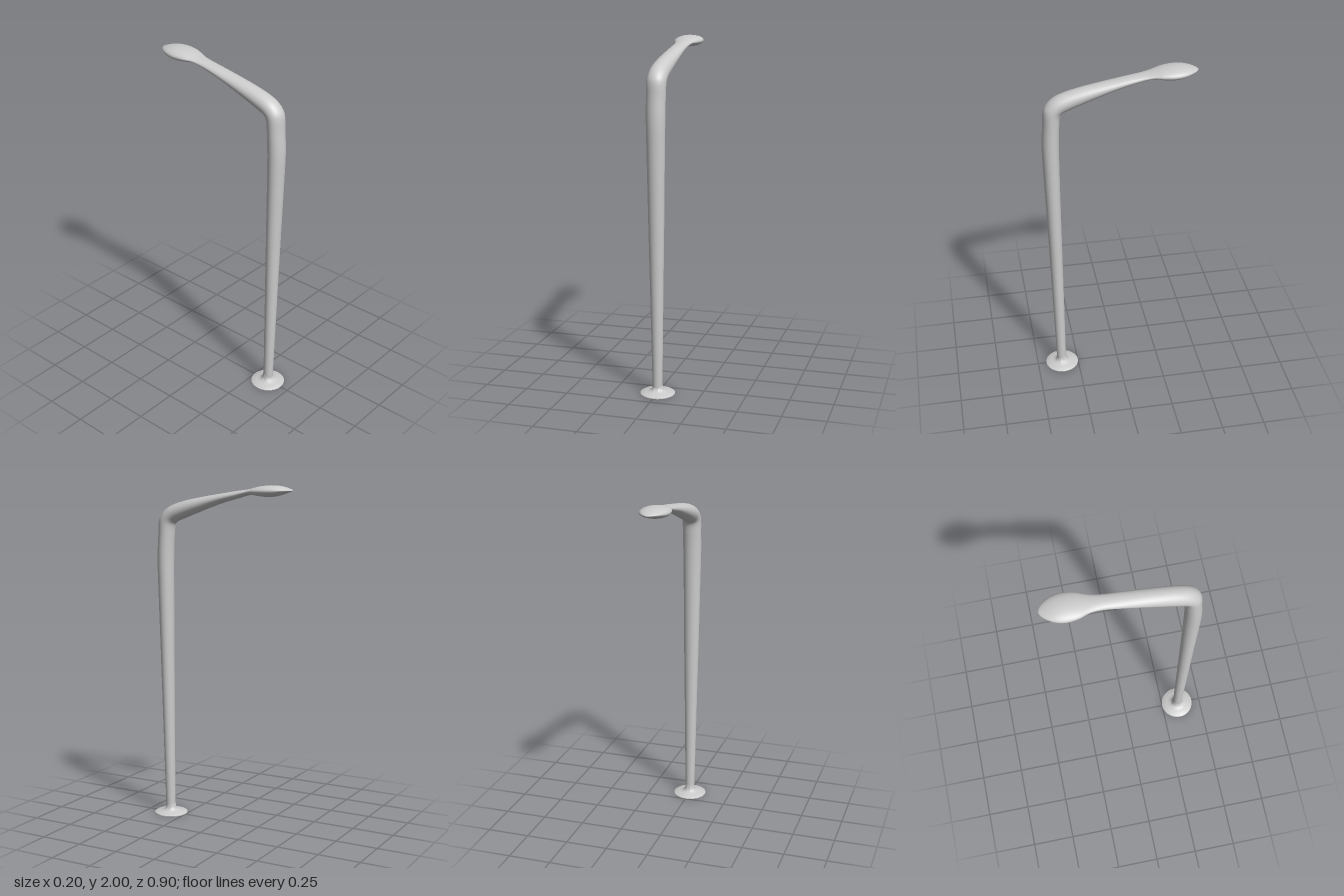
import * as THREE from 'three';
import { toCreasedNormals } from 'three/addons/utils/BufferGeometryUtils.js';

// Loft of elliptical rings. Each station: outer z, outer y, inner z, inner y, half width in x
function loft(stations, rings, sides) {
  const outer = new THREE.CatmullRomCurve3(stations.map(([z, y, , , w]) => new THREE.Vector3(w, y, z)));
  const inner = new THREE.CatmullRomCurve3(stations.map(([, , z, y]) => new THREE.Vector3(0, y, z)));
  const positions = [], index = [];
  for (let i = 0; i <= rings; i++) {
    const o = outer.getPoint(i / rings), n = inner.getPoint(i / rings);
    for (let j = 0; j < sides; j++) {
      const a = (j / sides) * Math.PI * 2, k = (1 + Math.sin(a)) / 2;
      positions.push(Math.cos(a) * o.x, n.y + (o.y - n.y) * k, n.z + (o.z - n.z) * k);
      if (i === rings) continue;
      const p = i * sides + j, q = i * sides + (j + 1) % sides;
      index.push(p, p + sides, q, q, p + sides, q + sides);
    }
  }
  const geometry = new THREE.BufferGeometry();
  geometry.setAttribute('position', new THREE.Float32BufferAttribute(positions, 3));
  geometry.setIndex(index);
  geometry.computeVertexNormals();
  return geometry;
}

export function createModel() {
  const group = new THREE.Group();
  const material = new THREE.MeshStandardMaterial({ color: 0xcccccc });
  const add = (name, geometry) => {
    const mesh = new THREE.Mesh(geometry, material);
    mesh.name = name;
    group.add(mesh);
    return mesh;
  };

  // Flared round foot
  const foot = [[0, 0], [0.1, 0], [0.1, 0.004], [0.094, 0.008], [0.065, 0.013],
    [0.045, 0.018], [0.035, 0.026], [0.03, 0.04], [0.028, 0.06]];
  add('foot', toCreasedNormals(
    new THREE.LatheGeometry(foot.map(([r, y]) => new THREE.Vector2(r, y)), 48), 0.7)).position.z = 0.35;

  // Tapered pole, bend, arm and flattened lamp head in one continuous skin
  add('poleArmAndHead', loft([
    [0.38, 0.02, 0.324, 0.02, 0.028],
    [0.393, 0.5, 0.325, 0.5, 0.036],
    [0.406, 1.0, 0.326, 1.0, 0.045],
    [0.418, 1.4, 0.326, 1.4, 0.051],
    [0.421, 1.57, 0.325, 1.57, 0.054],
    [0.413, 1.7, 0.32, 1.69, 0.055],
    [0.405, 1.795, 0.312, 1.76, 0.056],
    [0.385, 1.831, 0.302, 1.775, 0.056],
    [0.35, 1.862, 0.285, 1.784, 0.056],
    [0.3, 1.885, 0.26, 1.794, 0.056],
    [0.2, 1.912, 0.18, 1.825, 0.054],
    [0.0, 1.948, -0.01, 1.894, 0.047],
    [-0.12, 1.967, -0.125, 1.926, 0.044],
    [-0.17, 1.974, -0.17, 1.939, 0.048],
    [-0.2, 1.98, -0.2, 1.944, 0.055],
    [-0.25, 1.992, -0.25, 1.938, 0.074],
    [-0.31, 1.999, -0.31, 1.934, 0.083],
    [-0.36, 1.998, -0.36, 1.94, 0.077],
    [-0.4, 1.991, -0.4, 1.952, 0.06],
    [-0.43, 1.982, -0.43, 1.962, 0.037],
    [-0.445, 1.976, -0.445, 1.967, 0.017],
    [-0.451, 1.971, -0.451, 1.97, 0.001],
  ], 168, 40));

  return group;
}
